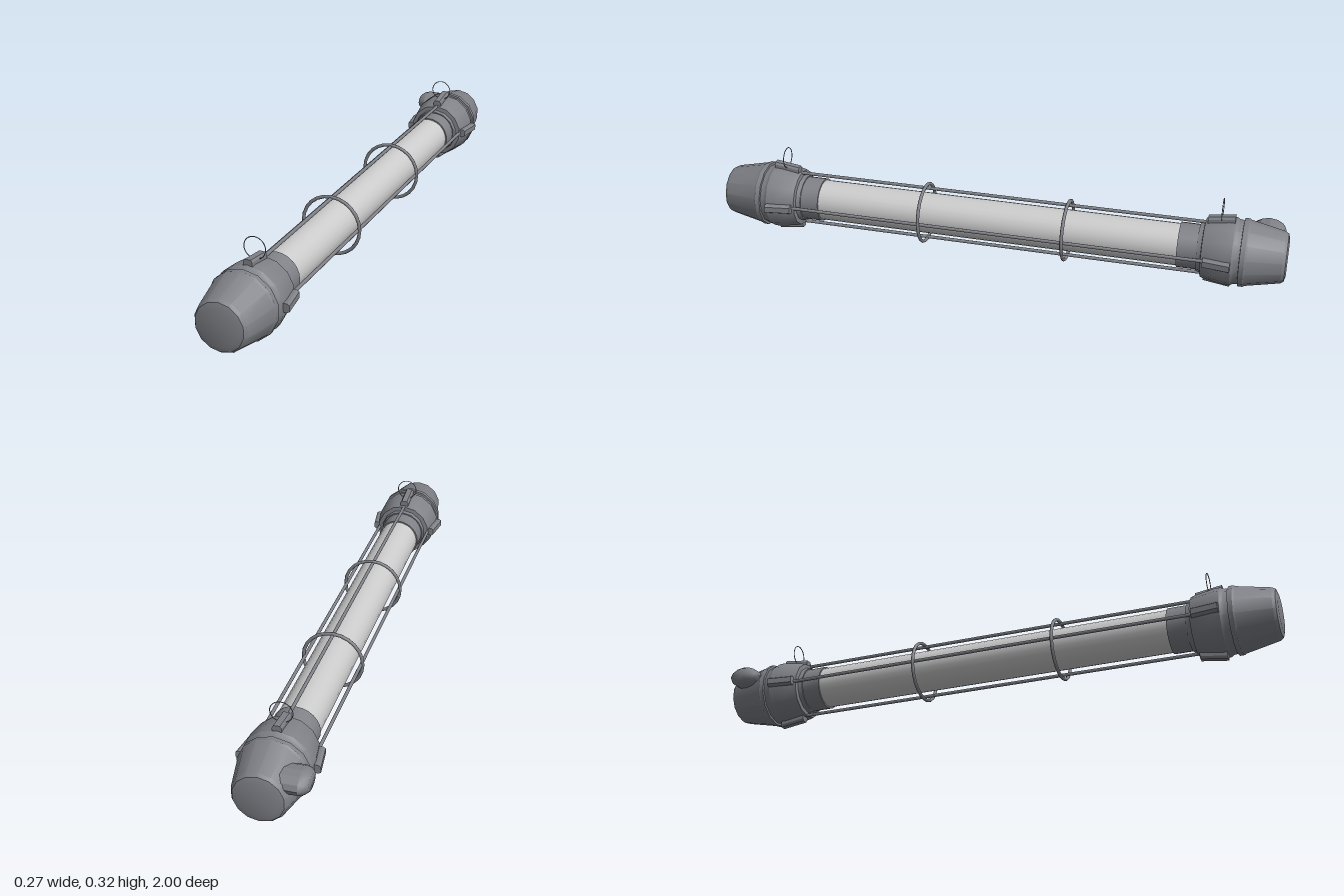
import * as THREE from 'three';
import { toCreasedNormals } from 'three/addons/utils/BufferGeometryUtils.js';

const AXIS_X = 0.003, AXIS_Y = 0.135;
const dark = new THREE.MeshStandardMaterial({ color: 0x808288 });
const light = new THREE.MeshStandardMaterial({ color: 0xcccccc });

function add(parent, name, geometry, material = dark) {
  const mesh = new THREE.Mesh(geometry, material);
  mesh.name = name;
  parent.add(mesh);
  return mesh;
}

// Turned part along +z from [radius, z] pairs
function turned(profile, sides) {
  const points = profile.map(([r, z]) => new THREE.Vector2(r, z));
  return toCreasedNormals(new THREE.LatheGeometry(points, sides).rotateX(Math.PI / 2), 0.5);
}

// Lug standing out from the collar, with chamfered outer edges; taller toward the cap
function lugGeometry() {
  const s = new THREE.Shape();
  s.moveTo(-0.015, 0.09);
  s.lineTo(0.015, 0.09);
  s.lineTo(0.015, 0.125);
  s.lineTo(0.010, 0.133);
  s.lineTo(-0.010, 0.133);
  s.lineTo(-0.015, 0.125);
  const geo = new THREE.ExtrudeGeometry(s, { depth: 0.09, bevelEnabled: false });
  const p = geo.attributes.position;
  for (let i = 0; i < p.count; i++) {
    if (p.getZ(i) < 0.01 && p.getY(i) > 0.1) p.setY(i, p.getY(i) - 0.013);
  }
  geo.translate(0, 0, 0.73);
  geo.computeVertexNormals();
  return geo;
}

function makeEnd(name) {
  const end = new THREE.Group();
  end.name = name;
  add(end, 'sleeve', turned([[0.07, 0.64], [0.077, 0.64], [0.077, 0.735]], 24));
  add(end, 'collar', turned([
    [0.07, 0.705], [0.082, 0.705], [0.085, 0.72], [0.1, 0.722], [0.104, 0.735],
    [0.115, 0.8], [0.115, 0.822], [0.109, 0.832], [0.107, 0.85]], 14));
  add(end, 'endCap', turned([
    [0.1, 0.846], [0.115, 0.848], [0.115, 0.864], [0.111, 0.87],
    [0.087, 0.985], [0.08, 0.995], [0.062, 1], [0, 1]], 14));
  for (let i = 0; i < 4; i++) add(end, 'lug', lugGeometry()).rotation.z = i * Math.PI / 2;
  // Thin wire loop for hanging
  add(end, 'hangingLoop', new THREE.TorusGeometry(0.036, 0.0015, 6, 32)).position.set(0, 0.151, 0.775);
  return end;
}

export function createModel() {
  const model = new THREE.Group();
  model.name = 'tubeLamp';
  const body = new THREE.Group();
  body.name = 'body';
  body.position.set(AXIS_X, AXIS_Y, 0);
  model.add(body);

  // Light tube
  add(body, 'lightTube', new THREE.CylinderGeometry(0.072, 0.072, 1.4, 24).rotateX(Math.PI / 2), light);

  // Two matching ends
  body.add(makeEnd('frontEnd'));
  const back = makeEnd('backEnd');
  back.rotation.y = Math.PI;
  body.add(back);

  // Guard cage: four rods and two hoops
  for (let i = 0; i < 4; i++) {
    const a = i * Math.PI / 2;
    const rod = add(body, 'guardRod', new THREE.CylinderGeometry(0.006, 0.006, 1.5, 8).rotateX(Math.PI / 2));
    rod.position.set(0.097 * Math.cos(a), 0.097 * Math.sin(a), 0);
  }
  for (const z of [-0.255, 0.255]) {
    add(body, 'guardHoop', new THREE.TorusGeometry(0.103, 0.006, 8, 24)).position.z = z;
  }

  // Rounded cable outlet on the right side of the back cap
  const outlet = add(model, 'cableOutlet', turned([
    [1, 0], [1, 0.065], [0.9, 0.08], [0.65, 0.092], [0, 0.092]], 12));
  outlet.scale.set(0.057, 0.036, 1);
  outlet.rotation.y = -Math.PI / 2;
  outlet.position.set(-0.045, 0.177, -0.928);

  return model;
}
